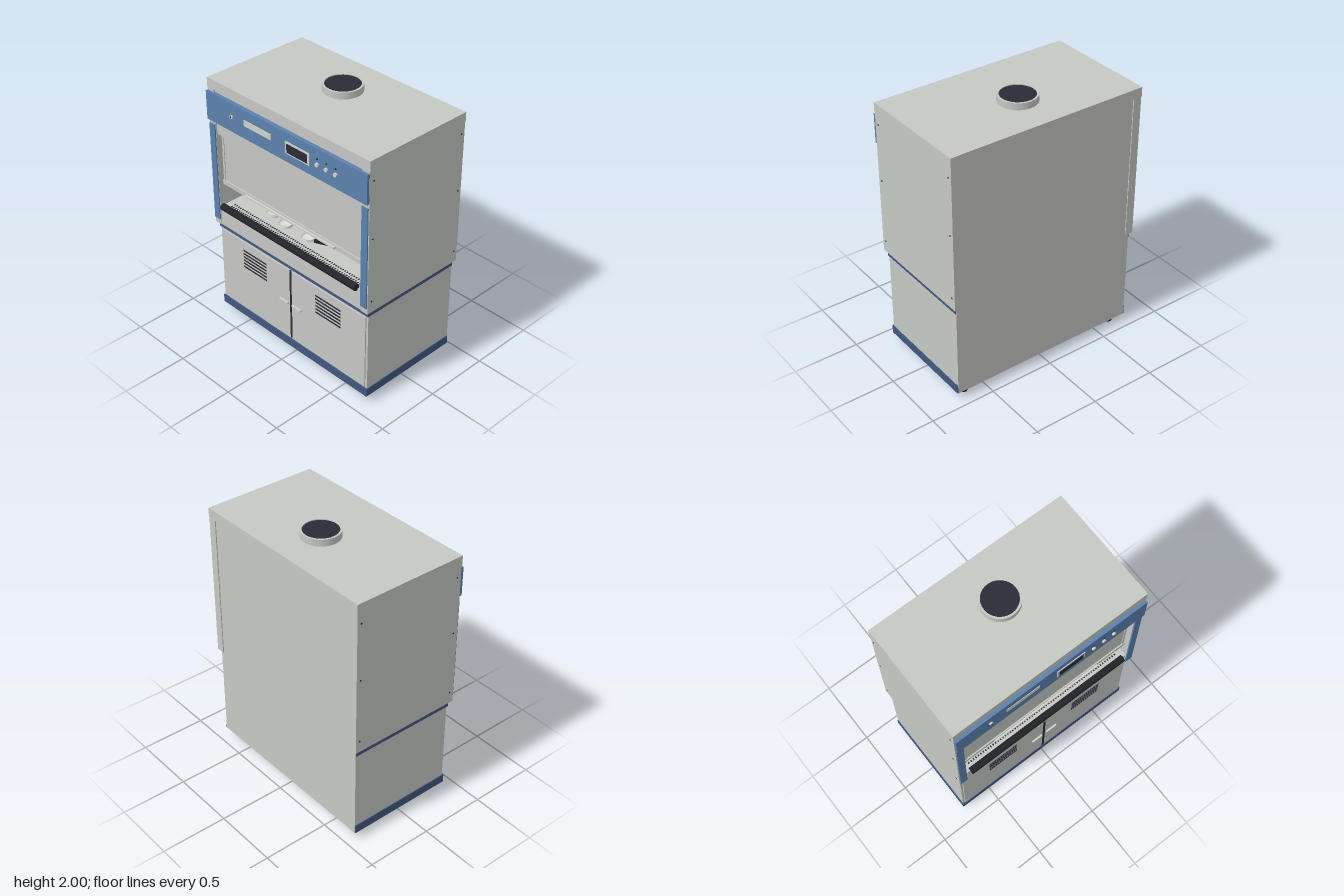
import * as THREE from 'three';

const mat = (name, color) => {
  const m = new THREE.MeshStandardMaterial({ color });
  m.name = name;
  return m;
};

export function createModel() {
  const root = new THREE.Group();
  const grey = mat('bodyGrey', 0xc6c8c4);
  const blue = mat('panelBlue', 0x5b82ad);
  const navy = mat('trimNavy', 0x43587f);
  const dark = mat('darkSlot', 0x2b2b36);
  const black = mat('blackRubber', 0x222429);
  const pale = mat('paleLabel', 0xd2d2cb);
  const white = mat('labwareWhite', 0xdcdedb);

  const add = (name, geo, material, x = 0, y = 0, z = 0, parent = root) => {
    const m = new THREE.Mesh(geo, material);
    m.name = name;
    m.position.set(x, y, z);
    parent.add(m);
    return m;
  };
  // box given by its limits on each axis
  const box = (name, material, x0, x1, y0, y1, z0, z1) =>
    add(name, new THREE.BoxGeometry(x1 - x0, y1 - y0, z1 - z0), material, (x0 + x1) / 2, (y0 + y1) / 2, (z0 + z1) / 2);
  const cyl = (name, material, r, h, x, y, z, axis = 'y', sides = 24) => {
    const g = new THREE.CylinderGeometry(r, r, h, sides);
    if (axis === 'x') g.rotateZ(Math.PI / 2);
    if (axis === 'z') g.rotateX(Math.PI / 2);
    return add(name, g, material, x, y, z);
  };
  const lathe = (name, material, pts, x, y, z) =>
    add(name, new THREE.LatheGeometry(pts.map(p => new THREE.Vector2(...p)), 32), material, x, y, z);

  // levelling feet
  for (const x of [-0.655, 0.655]) for (const z of [-0.36, 0.315]) {
    cyl('footPad', black, 0.03, 0.02, x, 0.01, z);
    cyl('footStem', grey, 0.016, 0.045, x, 0.0425, z);
  }

  // lower cabinet with navy bands on the front and sides
  box('baseCabinet', grey, -0.742, 0.742, 0.06, 0.79, -0.432, 0.388);
  for (const [y0, y1] of [[0.06, 0.125], [0.747, 0.79]]) {
    box('frontBand', navy, -0.748, 0.748, y0, y1, 0.388, 0.398);
    for (const s of [-1, 1]) {
      const a = s * 0.742, b = s * 0.748;
      box('sideBand', navy, Math.min(a, b), Math.max(a, b), y0, y1, -0.43, 0.398);
    }
  }

  // doors, handles, vents and screws
  box('doorGap', dark, -0.01, 0.01, 0.14, 0.73, 0.388, 0.397);
  for (const s of [-1, 1]) {
    const span = (name, m, a, b, ...r) => box(name, m, Math.min(s * a, s * b), Math.max(s * a, s * b), ...r);
    span('door', grey, 0.01, 0.725, 0.135, 0.73, 0.385, 0.397);
    span('doorHandle', pale, 0.02, 0.108, 0.434, 0.45, 0.397, 0.41);
    for (let i = 0; i < 6; i++) {
      const y = 0.655 - i * 0.028;
      span('ventSlot', dark, 0.25, 0.493, y - 0.006, y + 0.006, 0.395, 0.399);
    }
    for (const x of [0.05, 0.7]) for (const y of [0.17, 0.7]) cyl('doorScrew', grey, 0.006, 0.004, s * x, y, 0.398, 'z', 10);

    // side walls, rear corner strips, front pillars and side screws
    span('sideWall', grey, 0.7, 0.763, 0.79, 1.885, -0.45, 0.42);
    span('pillarCover', blue, 0.703, 0.757, 0.835, 1.608, 0.42, 0.429);
    for (const y of [0.88, 1.37, 1.8]) for (const z of [-0.42, 0.385]) cyl('sideScrew', dark, 0.006, 0.004, s * 0.764, y, z, 'x', 10);
  }

  // upper chamber
  box('backPanel', grey, -0.7, 0.7, 0.79, 1.885, -0.443, -0.36);
  box('chamberFloor', grey, -0.7, 0.7, 0.79, 0.945, -0.37, 0.415);
  box('chamberHood', grey, -0.7, 0.7, 1.535, 1.885, -0.37, 0.41);
  box('topCap', grey, -0.765, 0.765, 1.88, 1.95, -0.452, 0.422);

  // exhaust collar
  lathe('exhaustCollar', grey, [[0.14, 0], [0.14, 0.05], [0.14, 0.05], [0.125, 0.05], [0.125, 0.05], [0.125, 0]], 0, 1.95, -0.105)
    .material.name = 'bodyGrey';
  cyl('exhaustOpening', dark, 0.125, 0.044, 0, 1.972, -0.105, 'y', 48);

  // sliding sash
  box('sashPane', grey, -0.663, 0.663, 1.16, 1.54, 0.375, 0.385);
  box('sashBottomRail', grey, -0.685, 0.685, 1.13, 1.165, 0.37, 0.395);
  box('sashHandle', pale, -0.44, 0.44, 1.14, 1.154, 0.395, 0.41);
  for (const s of [-1, 1]) box('sashStile', grey, s * 0.672 - 0.009, s * 0.672 + 0.009, 1.16, 1.54, 0.37, 0.39);

  // armrest and front grille
  cyl('armrest', black, 0.026, 1.33, 0, 0.96, 0.424, 'x');
  for (let i = 0; i < 62; i++) for (const z of [0.335, 0.365])
    box('grilleSlot', dark, -0.645 + i * 0.021, -0.636 + i * 0.021, 0.944, 0.947, z - 0.007, z + 0.007);

  // control panel
  box('controlPanel', blue, -0.76, 0.76, 1.642, 1.858, 0.408, 0.441);
  box('labelPlate', pale, -0.373, -0.108, 1.74, 1.786, 0.44, 0.444);
  box('displayFrame', pale, 0.03, 0.253, 1.706, 1.796, 0.44, 0.446);
  box('displayScreen', dark, 0.046, 0.238, 1.717, 1.782, 0.445, 0.449);
  cyl('keyLock', pale, 0.013, 0.012, -0.495, 1.76, 0.446, 'z');
  box('keySlot', dark, -0.498, -0.492, 1.754, 1.768, 0.451, 0.454);
  for (const x of [0.325, 0.408, 0.49]) {
    cyl('controlKnob', pale, 0.014, 0.014, x, 1.745, 0.447, 'z');
    cyl('indicatorLamp', dark, 0.006, 0.006, x, 1.786, 0.443, 'z', 12);
  }

  // labware on the worktop
  const floor = 0.945;
  cyl('canister', white, 0.047, 0.22, -0.55, floor + 0.11, -0.02);
  cyl('canisterLid', white, 0.051, 0.02, -0.55, floor + 0.18, -0.02);
  cyl('dishStack', white, 0.045, 0.075, -0.41, floor + 0.0375, 0.1);
  cyl('dishLid', white, 0.051, 0.02, -0.41, floor + 0.072, 0.1);
  for (const [x, z] of [[-0.36, 0.22], [-0.2, 0.25], [0.03, 0.25]])
    lathe('petriDish', white, [[0, 0.004], [0.046, 0.004], [0.046, 0.018], [0.05, 0.018], [0.05, 0]].reverse(), x, floor, z);
  box('mixerBody', white, -0.18, -0.08, floor, 1.01, -0.02, 0.1);
  const head = cyl('mixerHead', black, 0.022, 0.07, -0.135, 1.02, 0.05);
  head.rotation.z = 0.35;
  const grip = box('blackClamp', black, 0.08, 0.18, floor, floor + 0.02, 0.2, 0.24);
  grip.rotation.y = 0.4;
  cyl('lyingTube', white, 0.02, 0.13, 0.33, floor + 0.02, 0.19, 'x');

  const bottle = (r, h, x, z, capMat) => {
    lathe('bottle', white, [[0, 0], [r, 0], [r, h * 0.55], [r * 0.6, h * 0.8], [r * 0.6, h], [0, h]], x, floor, z);
    cyl('bottleCap', capMat, r * 0.78, 0.032, x, floor + h, z);
  };
  bottle(0.036, 0.155, 0.03, 0, blue);
  bottle(0.036, 0.155, 0.13, 0, blue);
  bottle(0.045, 0.18, 0.565, -0.02, white);
  bottle(0.038, 0.18, 0.455, -0.08, white);

  // tray with pipettes and tube rack
  const tray = new THREE.Shape([[0.21, 0], [0.41, 0], [0.39, 0.078], [0.27, 0.078]].map(p => new THREE.Vector2(...p)));
  add('pipetteTray', new THREE.ExtrudeGeometry(tray, { depth: 0.12, bevelEnabled: false }), white, 0, floor, -0.02);
  for (const [x, tilt] of [[0.29, 0.25], [0.35, -0.15]]) {
    const p = cyl('pipette', dark, 0.007, 0.13, x, 1.07, 0.03, 'y', 12);
    p.rotation.z = tilt;
  }
  box('tubeRack', blue, 0.41, 0.55, 1.005, 1.015, 0.05, 0.13);
  for (const x of [0.414, 0.546]) box('rackLeg', blue, x - 0.004, x + 0.004, floor, 1.005, 0.05, 0.13);
  for (let i = 0; i < 5; i++) cyl('sampleTube', white, 0.01, 0.14, 0.43 + i * 0.025, floor + 0.075, 0.09, 'y', 12);
  cyl('blueLid', blue, 0.03, 0.03, 0.56, floor + 0.015, 0.22);

  return root;
}
